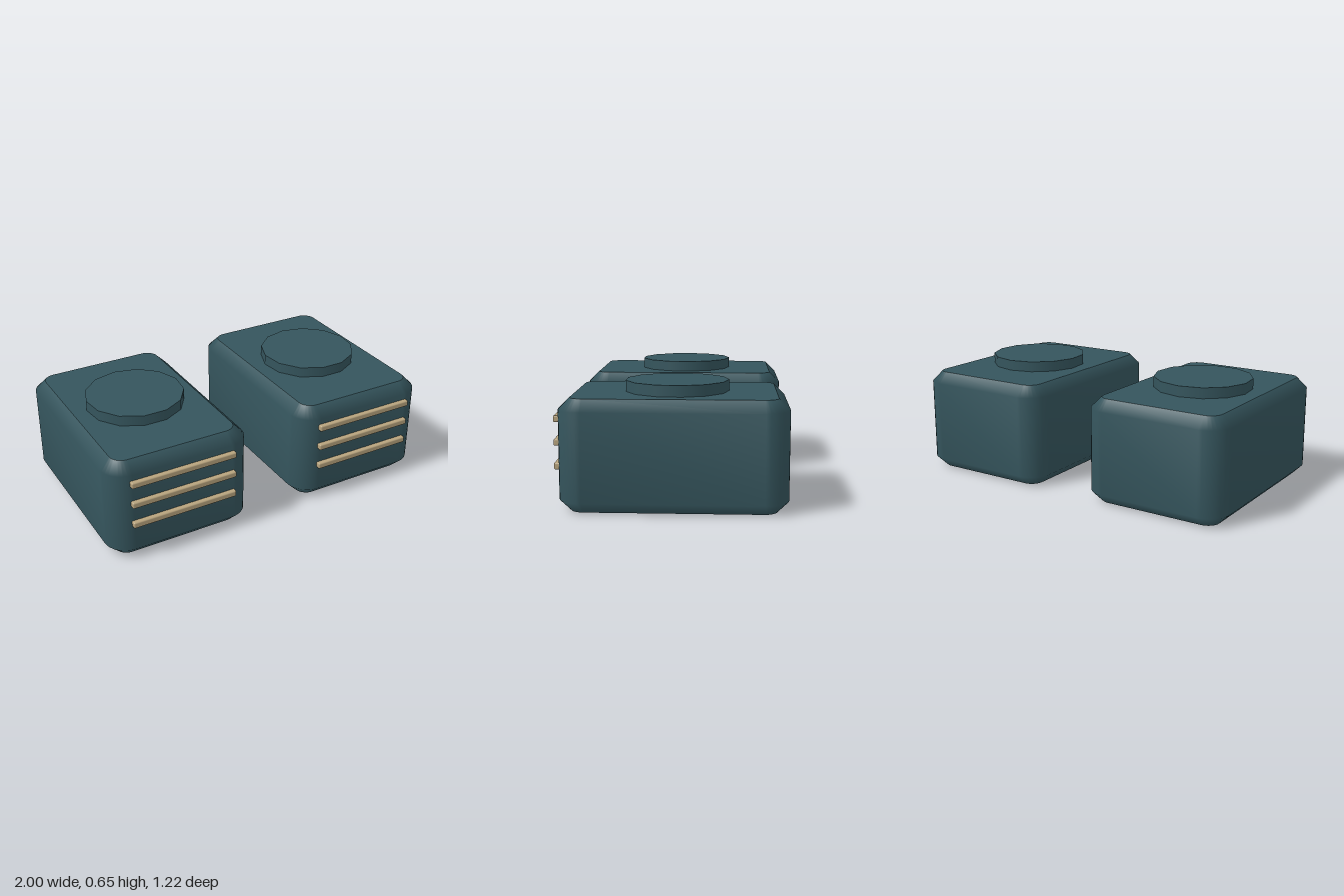
import * as THREE from 'three';
import { mergeVertices, mergeGeometries } from 'three/addons/utils/BufferGeometryUtils.js';
import { RoundedBoxGeometry } from 'three/addons/geometries/RoundedBoxGeometry.js';

const WIDTH = 0.84, HEIGHT = 0.59, DEPTH = 1.19, BEVEL = 0.06;

function roundedRect(w, d, r) {
  const x = w / 2, y = d / 2, s = new THREE.Shape();
  s.absarc(x - r, y - r, r, 0, Math.PI / 2);
  s.absarc(-x + r, y - r, r, Math.PI / 2, Math.PI);
  s.absarc(-x + r, -y + r, r, Math.PI, Math.PI * 1.5);
  s.absarc(x - r, -y + r, r, Math.PI * 1.5, Math.PI * 2);
  s.closePath();
  return s;
}

// Chamfered block: flat top and bottom, smoothly shaded walls
function bodyGeometry() {
  const block = new THREE.ExtrudeGeometry(
    roundedRect(WIDTH - 2 * BEVEL, DEPTH - 2 * BEVEL, 0.07),
    { depth: HEIGHT - 2 * BEVEL, bevelEnabled: true, bevelThickness: BEVEL,
      bevelSize: BEVEL, bevelSegments: 1, curveSegments: 4 });
  block.translate(0, 0, BEVEL).rotateX(-Math.PI / 2);
  const positions = block.getAttribute('position').array;
  const pieces = block.groups.map(({ start, count }) => {
    const piece = new THREE.BufferGeometry();
    piece.setAttribute('position',
      new THREE.BufferAttribute(positions.slice(start * 3, (start + count) * 3), 3));
    const welded = mergeVertices(piece, 1e-4);
    welded.computeVertexNormals();
    return welded;
  });
  return mergeGeometries(pieces);
}

export function createModel() {
  const model = new THREE.Group();
  model.name = 'twinBlocks';
  const teal = new THREE.MeshStandardMaterial({ color: 0x35555d });
  teal.name = 'dark teal';
  const tan = new THREE.MeshStandardMaterial({ color: 0xb8a47e });
  tan.name = 'tan';

  const bodyGeo = bodyGeometry();
  const discGeo = new THREE.CylinderGeometry(0.28, 0.28, 0.08, 13);
  discGeo.rotateY(Math.PI);
  const barGeo = new RoundedBoxGeometry(0.615, 0.036, 0.05, 2, 0.008);

  function add(parent, name, geometry, material, x, y, z) {
    const mesh = new THREE.Mesh(geometry, material);
    mesh.name = name;
    mesh.position.set(x, y, z);
    parent.add(mesh);
  }

  for (const side of [-1, 1]) {
    const unit = new THREE.Group();
    unit.name = side > 0 ? 'leftBlock' : 'rightBlock';
    unit.position.x = side * 0.58;
    add(unit, 'body', bodyGeo, teal, 0, 0, -0.015);
    add(unit, 'topDisc', discGeo, teal, 0, 0.61, -0.018);
    // Three front slats
    [0.23, 0.355, 0.478].forEach((y, i) => add(unit, `slat${i + 1}`, barGeo, tan, 0, y, 0.581));
    model.add(unit);
  }
  return model;
}
